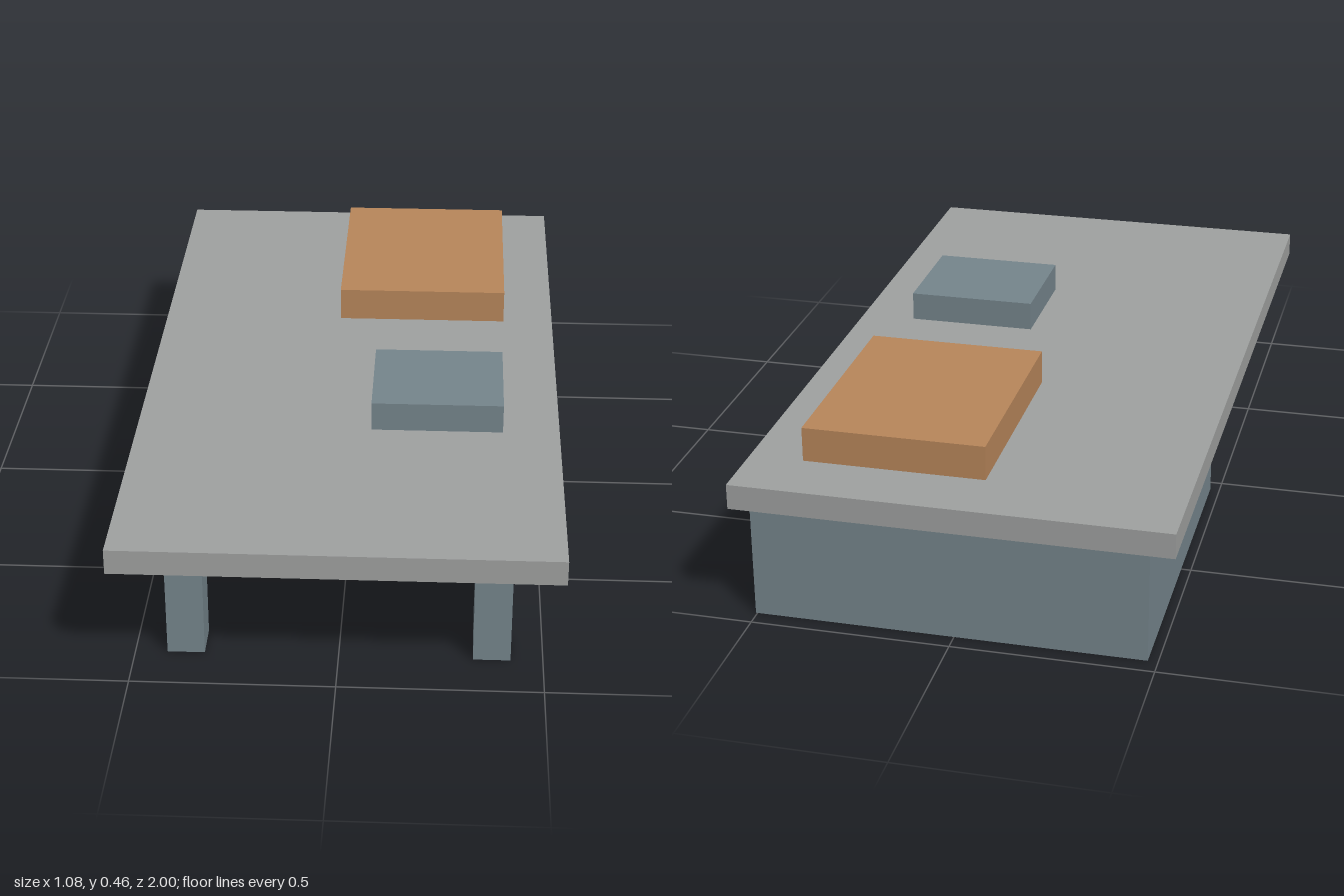
import * as THREE from 'three';

const material = (name, color) => {
  const m = new THREE.MeshStandardMaterial({ color, side: THREE.DoubleSide });
  m.name = name;
  return m;
};

// Box shell without its bottom face, given by its extents on each axis
function openBox(name, mat, [x0, x1], [y0, y1], [z0, z1]) {
  const geometry = new THREE.BoxGeometry(x1 - x0, y1 - y0, z1 - z0);
  const index = Array.from(geometry.index.array);
  index.splice(18, 6); // bottom face
  geometry.setIndex(index);
  geometry.clearGroups();
  const mesh = new THREE.Mesh(geometry, mat);
  mesh.name = name;
  mesh.position.set((x0 + x1) / 2, (y0 + y1) / 2, (z0 + z1) / 2);
  return mesh;
}

export function createModel() {
  const model = new THREE.Group();
  model.name = 'desk';
  const grey = material('warmGrey', 0xa0a2a1);
  const slate = material('slateBlue', 0x76868d);
  const orange = material('copperOrange', 0xb9875b);

  const under = 0.306; // underside of the top
  const top = 0.37;    // working surface

  // Slab and the cabinet carrying its rear half
  model.add(openBox('tableTop', grey, [-0.542, 0.542], [under, top], [-1, 1]));
  model.add(openBox('cabinet', slate, [-0.475, 0.504], [0, under], [-0.955, -0.041]));

  // Pull bar set halfway into the cabinet side
  model.add(openBox('handle', grey, [-0.497, -0.453], [0.202, 0.231], [-0.65, -0.345]));

  // Front legs
  for (const side of [-1, 1]) {
    const leg = openBox(side > 0 ? 'leftLeg' : 'rightLeg', slate,
      [-0.046, 0.046], [0, under], [0.775, 0.871]);
    leg.position.x = side * 0.375;
    model.add(leg);
  }

  // Boxes lying on the surface
  model.add(openBox('largeBox', orange, [-0.052, 0.406], [top, 0.458], [-0.835, -0.252]));
  model.add(openBox('smallBox', slate, [0.06, 0.397], [top, 0.446], [0.087, 0.391]));

  return model;
}
